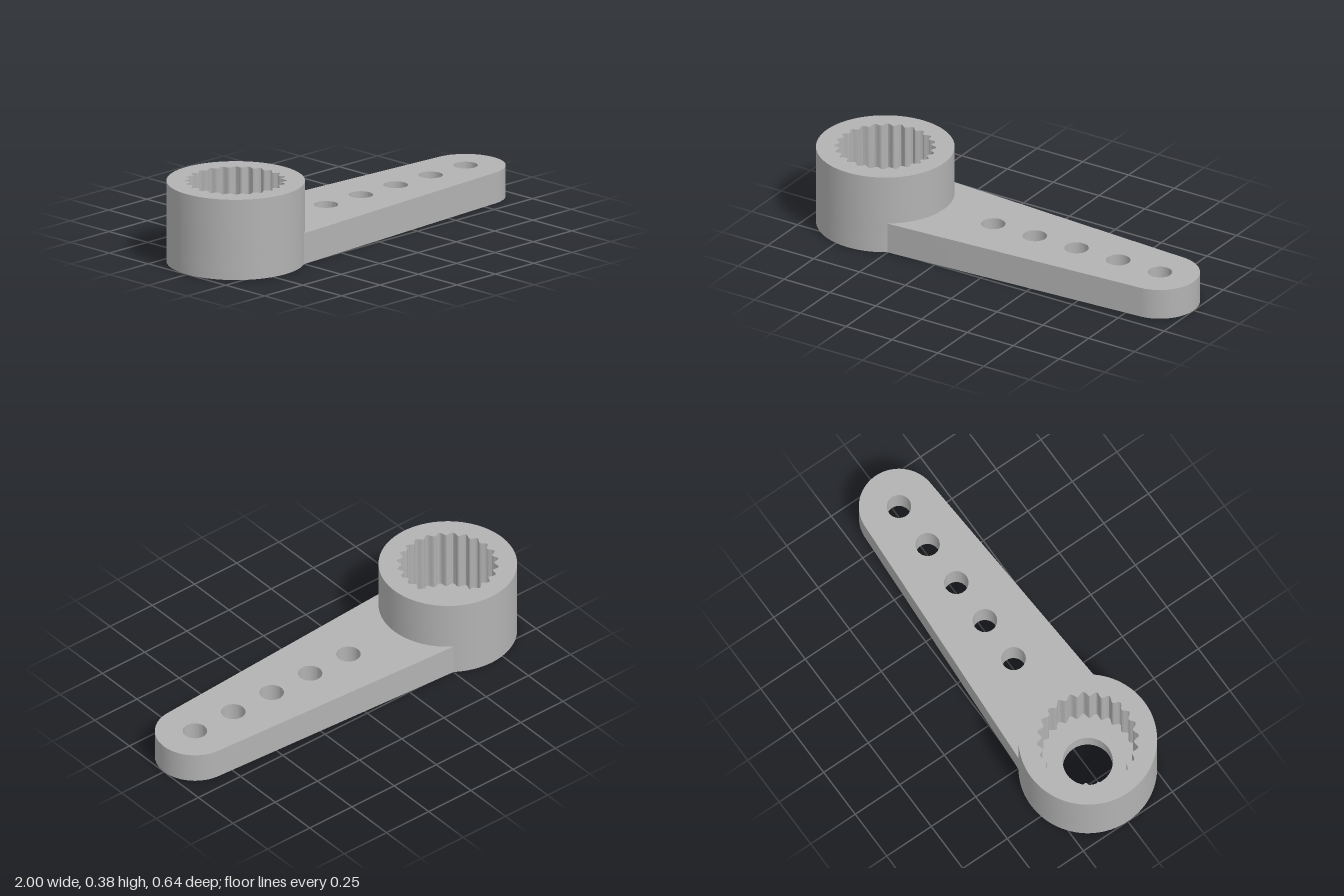
import * as THREE from 'three';
import { toCreasedNormals } from 'three/addons/utils/BufferGeometryUtils.js';

const HUB_X = -0.682, HUB_R = 0.318, HUB_H = 0.383;
const FLOOR_H = 0.09, BORE_R = 0.115;
const ARM_H = 0.147, TIP_X = 0.816, TIP_R = 0.184, HOLE_R = 0.056;
const TEETH = 24;

function circlePath(x, r, Type = THREE.Path) {
  const p = new Type();
  p.absarc(x, 0, r, 0, Math.PI * 2, false);
  return p;
}

// Closed wavy outline of the toothed socket
function splinePath() {
  const points = [];
  const n = TEETH * 10;
  for (let i = 0; i < n; i++) {
    const a = (i / n) * Math.PI * 2;
    const r = 0.223 + 0.011 * Math.cos(TEETH * a);
    points.push(new THREE.Vector2(HUB_X + r * Math.cos(a), r * Math.sin(a)));
  }
  return new THREE.Path(points);
}

// Upright extrusion of a plan outline from y0 to y1
function slab(name, shape, y0, y1, material) {
  const raw = new THREE.ExtrudeGeometry(shape, {
    depth: y1 - y0, bevelEnabled: false, curveSegments: 48,
  });
  raw.rotateX(-Math.PI / 2);
  raw.translate(0, y0, 0);
  const mesh = new THREE.Mesh(toCreasedNormals(raw, 0.6), material);
  mesh.name = name;
  return mesh;
}

export function createModel() {
  const group = new THREE.Group();
  group.name = 'leverArm';
  const grey = new THREE.MeshStandardMaterial({ color: 0xb2b2b2 });
  grey.name = 'grey plastic';

  // Hub floor with the screw bore
  const floor = circlePath(HUB_X, HUB_R, THREE.Shape);
  floor.holes.push(circlePath(HUB_X, BORE_R));
  group.add(slab('hubFloor', floor, 0, FLOOR_H, grey));

  // Hub wall with the toothed socket
  const wall = circlePath(HUB_X, HUB_R, THREE.Shape);
  wall.holes.push(splinePath());
  group.add(slab('hubWall', wall, FLOOR_H, HUB_H, grey));

  // Tapered arm: meets the hub along its rim and ends in a round tip
  const join = 0.969;
  const tip = Math.PI / 2 - 0.059;
  const arm = new THREE.Shape();
  arm.absarc(TIP_X, 0, TIP_R, -tip, tip, false);
  arm.absarc(HUB_X, 0, HUB_R, join, -join, true);
  arm.closePath();
  for (let i = 0; i < 5; i++) {
    arm.holes.push(circlePath(TIP_X - i * 0.2273, HOLE_R));
  }
  group.add(slab('arm', arm, 0, ARM_H, grey));

  return group;
}
